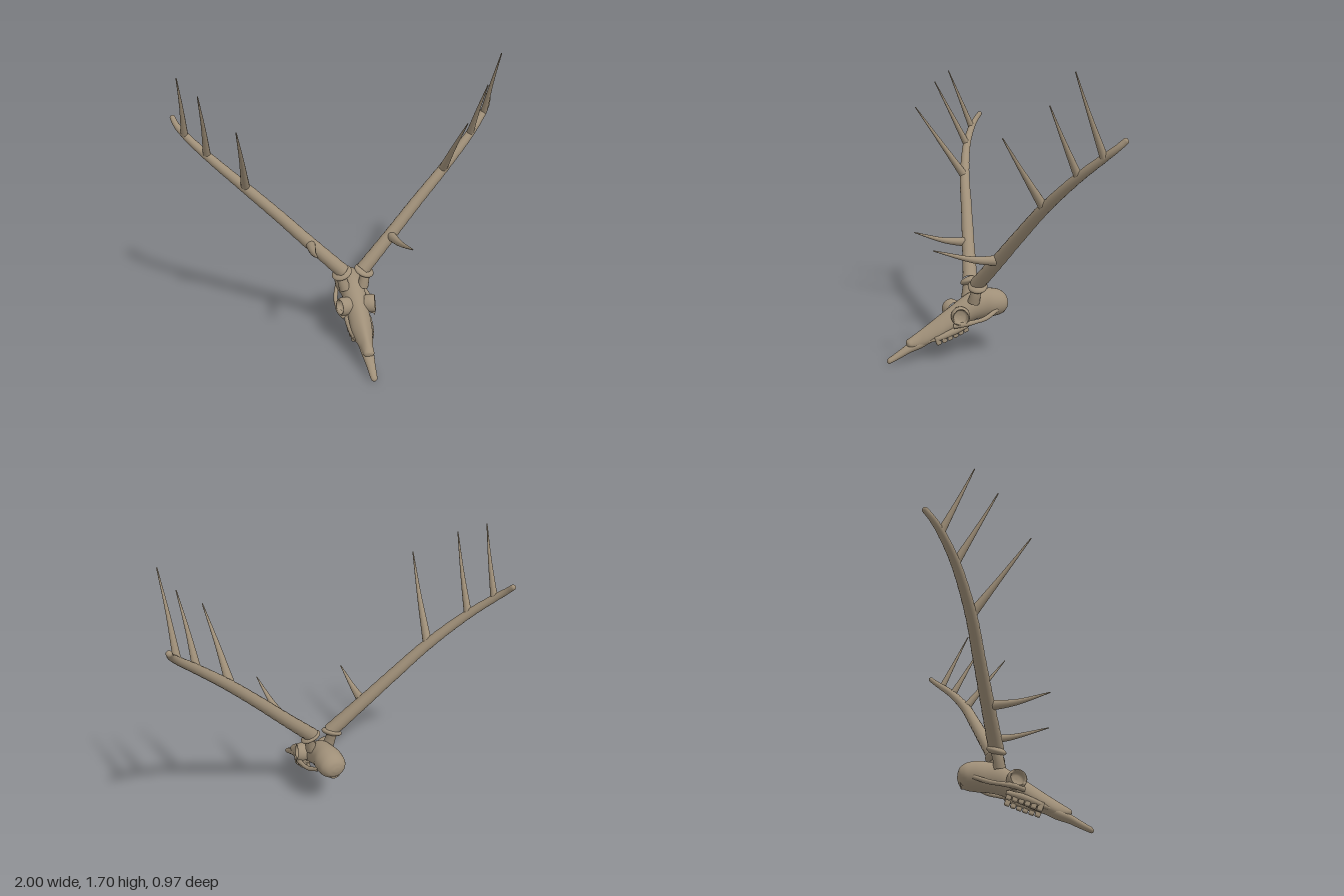
import * as THREE from 'three';
import { RoundedBoxGeometry } from 'three/addons/geometries/RoundedBoxGeometry.js';

const bone = new THREE.MeshStandardMaterial({ color: 0x9f8f78 });
bone.name = 'bone';
const V = (p, s = 1) => new THREE.Vector3(p[0] * s, p[1], p[2]);
const UP = new THREE.Vector3(0, 1, 0);

function add(parent, name, geometry) {
  const mesh = new THREE.Mesh(geometry, bone);
  mesh.name = name;
  parent.add(mesh);
  return mesh;
}

// Tube along a curve whose radius follows a list, with an optional slight waviness
function taperTube(points, radii, s, steps = 24, wave = 0) {
  const curve = new THREE.CatmullRomCurve3(points.map(p => V(p, s)));
  const sides = 14;
  const geo = new THREE.TubeGeometry(curve, steps, 1, sides);
  const pos = geo.attributes.position, v = new THREE.Vector3();
  for (let i = 0; i <= steps; i++) {
    const u = i / steps, c = curve.getPointAt(u);
    const f = u * (radii.length - 1), k = Math.min(Math.floor(f), radii.length - 2);
    const r = THREE.MathUtils.lerp(radii[k], radii[k + 1], f - k) * (1 + wave * Math.sin(i * 1.9));
    for (let j = 0; j <= sides; j++) {
      const n = i * (sides + 1) + j;
      v.fromBufferAttribute(pos, n).sub(c).multiplyScalar(r).add(c);
      pos.setXYZ(n, v.x, v.y, v.z);
    }
  }
  return geo;
}

// Smooth body from stations [z, top, bottom, halfWidth, narrowing towards the top]
function loft(stations, steps = 60, sides = 28) {
  const heights = new THREE.CatmullRomCurve3(stations.map(q => new THREE.Vector3(q[0], q[1], q[2])));
  const widths = new THREE.CatmullRomCurve3(stations.map(q => new THREE.Vector3(q[3], q[4], 0)));
  const pos = [], idx = [];
  for (let i = 0; i <= steps; i++) {
    const h = heights.getPoint(i / steps), w = widths.getPoint(i / steps);
    for (let j = 0; j < sides; j++) {
      const a = j / sides * Math.PI * 2, sn = Math.sin(a);
      pos.push(w.x * Math.cos(a) * (1 - w.y * sn), (h.y + h.z) / 2 + sn * (h.y - h.z) / 2, h.x);
      if (i < steps) {
        const k = (j + 1) % sides, p = i * sides, q = p + sides;
        idx.push(p + j, p + k, q + j, p + k, q + k, q + j);
      }
    }
  }
  // End caps
  const last = steps * sides;
  for (let j = 1; j < sides - 1; j++) idx.push(0, j + 1, j, last, last + j, last + j + 1);
  const geo = new THREE.BufferGeometry();
  geo.setAttribute('position', new THREE.Float32BufferAttribute(pos, 3));
  geo.setIndex(idx);
  geo.computeVertexNormals();
  return geo;
}

// Raised socket with a hollow, opening along the given direction
function socket(parent, name, profile, at, dir) {
  const curve = new THREE.SplineCurve(profile.map(p => new THREE.Vector2(...p)));
  const pts = curve.getPoints(24).map(p => p.setX(Math.max(p.x, 0)));
  const mesh = add(parent, name, new THREE.LatheGeometry(pts, 28));
  mesh.position.copy(at);
  mesh.quaternion.setFromUnitVectors(UP, dir.normalize());
}

function buildSkull() {
  const skull = new THREE.Group();
  skull.name = 'skull';
  add(skull, 'cranium', loft([
    [-0.268, 0.325, 0.295, 0.02, 0], [-0.255, 0.36, 0.262, 0.058, 0], [-0.22, 0.387, 0.236, 0.082, 0],
    [-0.16, 0.4, 0.226, 0.087, 0], [-0.1, 0.398, 0.222, 0.076, 0], [-0.04, 0.385, 0.212, 0.072, 0],
    [0.02, 0.352, 0.19, 0.07, 0], [0.08, 0.313, 0.165, 0.066, 0.12], [0.14, 0.275, 0.14, 0.064, 0.25],
    [0.2, 0.235, 0.115, 0.056, 0.3], [0.27, 0.19, 0.088, 0.043, 0.3], [0.33, 0.152, 0.082, 0.034, 0.2],
    [0.36, 0.132, 0.095, 0.022, 0], [0.366, 0.125, 0.11, 0.006, 0]]));
  add(skull, 'muzzleTip', loft([
    [0.2, 0.17, 0.115, 0.03, 0], [0.28, 0.14, 0.077, 0.04, 0], [0.35, 0.11, 0.055, 0.033, 0],
    [0.4, 0.08, 0.032, 0.026, 0], [0.45, 0.049, 0.011, 0.022, 0], [0.474, 0.035, 0.003, 0.018, 0],
    [0.484, 0.022, 0.012, 0.005, 0]], 36, 20));
  socket(skull, 'neckOpening', [[0.042, -0.03], [0.032, 0], [0.026, 0.004], [0.02, -0.002], [0.015, -0.012], [0, -0.016]],
    new THREE.Vector3(0, 0.268, -0.25), new THREE.Vector3(0, -0.35, -1));

  for (const s of [1, -1]) {
    const side = s > 0 ? 'left' : 'right';
    socket(skull, side + 'EyeSocket',
      [[0.05, -0.06], [0.056, -0.03], [0.054, -0.004], [0.047, 0.005], [0.04, -0.002], [0.034, -0.028], [0, -0.036]],
      V([0.106, 0.275, 0.063], s), new THREE.Vector3(s * 0.95, 0.08, 0.25));
    add(skull, side + 'CheekArch', taperTube(
      [[0.085, 0.215, 0.1], [0.107, 0.228, 0.04], [0.11, 0.236, -0.02], [0.104, 0.248, -0.09], [0.075, 0.285, -0.18]],
      [0.014, 0.016, 0.012, 0.014, 0.012], s));
    add(skull, side + 'ToothRidge', taperTube(
      [[0.04, 0.125, 0.24], [0.056, 0.145, 0.18], [0.062, 0.178, 0.09], [0.06, 0.205, 0]],
      [0.008, 0.019, 0.022, 0.012], s));
    for (let i = 0; i < 6; i++) {
      const t = i / 5;
      const tooth = add(skull, side + 'Tooth', new RoundedBoxGeometry(0.024, 0.055, 0.032, 2, 0.008));
      tooth.position.set(s * (0.056 + 0.008 * Math.sin(t * Math.PI)), 0.13 + 0.06 * t, 0.188 - 0.17 * t);
      tooth.rotation.x = 0.33;
    }
  }
  return skull;
}

// Tines: base, then the tips on the left and right antlers
const TINES = [
  { base: [0.25, 0.635, -0.11], mid: [0.262, 0.655, 0.04], left: [0.273, 0.73, 0.285], right: [0.27, 0.717, 0.23], r: 0.031 },
  { base: [0.608, 0.995, -0.22], left: [0.655, 1.375, 0.04], right: [0.67, 1.45, 0.095], r: 0.027 },
  { base: [0.81, 1.18, -0.31], left: [0.835, 1.543, -0.13], right: [0.846, 1.603, -0.095], r: 0.023 },
  { base: [0.925, 1.29, -0.385], left: [0.94, 1.705, -0.21], right: [0.946, 1.675, -0.225], r: 0.021 },
];

function buildAntler(s) {
  const antler = new THREE.Group();
  antler.name = s > 0 ? 'leftAntler' : 'rightAntler';
  add(antler, 'pedicle', taperTube(
    [[0.055, 0.34, -0.035], [0.068, 0.39, -0.043], [0.075, 0.445, -0.055]], [0.036, 0.031, 0.034], s, 10));
  // Knobbly ring at the antler base
  const burr = add(antler, 'burr', new THREE.SphereGeometry(1, 24, 14));
  burr.scale.set(0.064, 0.024, 0.058);
  burr.position.copy(V([0.07, 0.442, -0.055], s));
  burr.quaternion.setFromUnitVectors(UP, new THREE.Vector3(s * 0.36, 0.9, 0.25).normalize());
  // Main beam with a rounded tip
  const tip = [0.982, 1.372, -0.468];
  add(antler, 'beam', taperTube(
    [[0.06, 0.45, -0.055], [0.25, 0.638, -0.113], [0.43, 0.82, -0.168], [0.61, 0.995, -0.222],
      [0.81, 1.18, -0.31], [0.925, 1.29, -0.39], [0.967, 1.34, -0.436], tip],
    [0.044, 0.041, 0.038, 0.036, 0.034, 0.032, 0.029, 0.026, 0.022, 0.016], s, 64, 0.025));
  add(antler, 'beamTip', new THREE.SphereGeometry(0.0165, 14, 10)).position.copy(V(tip, s));
  for (const t of TINES) {
    const end = s > 0 ? t.left : t.right;
    // Slight inward bow where no middle point is given
    const mid = t.mid || t.base.map((b, i) => b + (end[i] - b) * 0.5 - (i === 0 ? 0.004 : 0));
    add(antler, 'tine', taperTube([t.base, mid, end], [t.r, t.r * 0.74, t.r * 0.5, t.r * 0.3, 0.003], s, 20));
  }
  return antler;
}

export function createModel() {
  const model = new THREE.Group();
  model.name = 'antleredSkull';
  model.add(buildSkull(), buildAntler(1), buildAntler(-1));
  return model;
}
